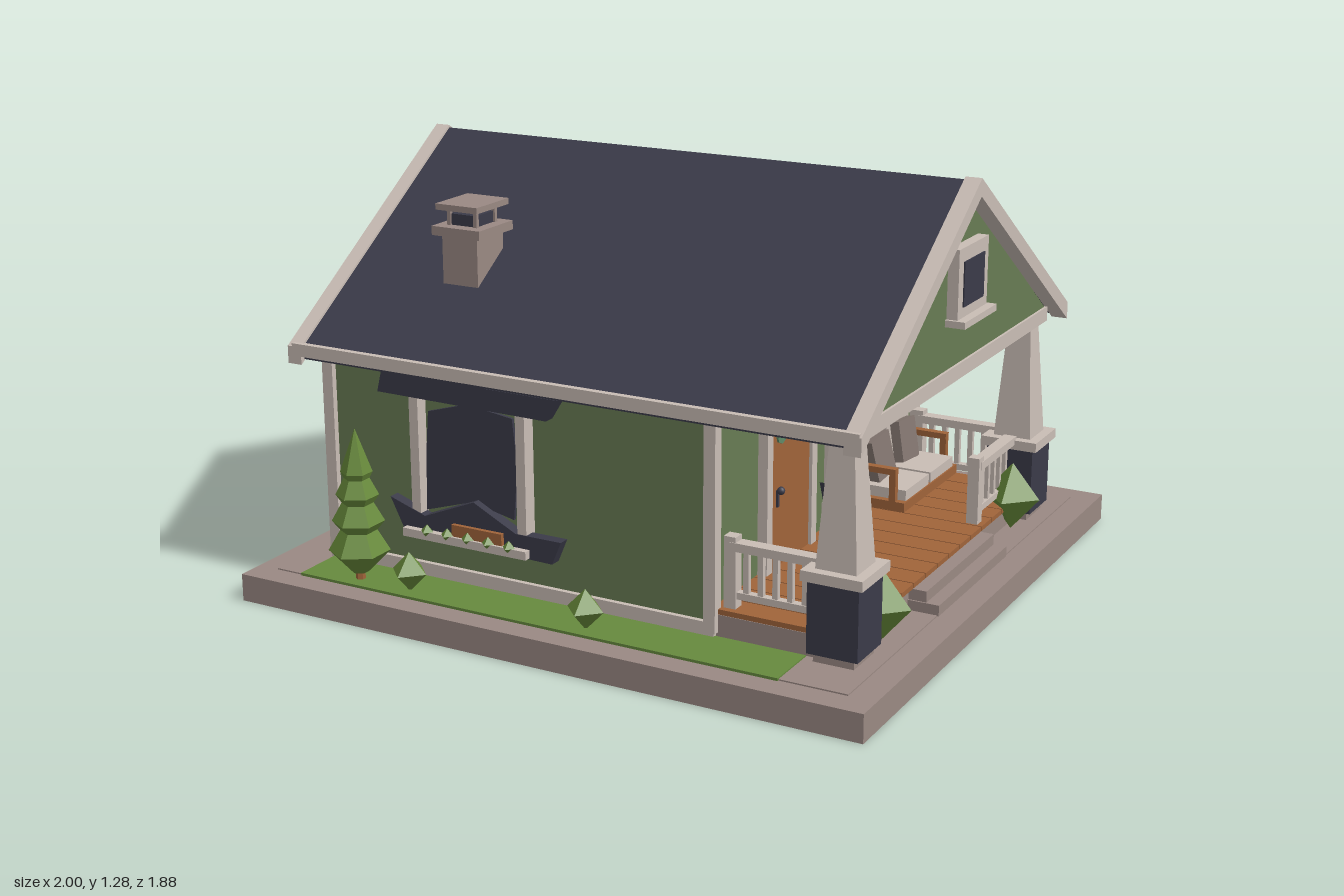
import * as THREE from 'three';

const mat = (name, color) => Object.assign(new THREE.MeshStandardMaterial({ color }), { name });

export function createModel() {
  const stone = mat('stone', 0x9a8983), cream = mat('cream trim', 0xc9bdb5), green = mat('wall green', 0x687c54);
  const navy = mat('slate navy', 0x3b3b49), wood = mat('wood', 0xa0643a), leaf = mat('leaf', 0x67893a);
  const grass = mat('grass', 0x668a3e), pane = mat('door glass', 0x5f8a68), grey = mat('pillow grey', 0x82756f);
  const house = new THREE.Group();
  house.name = 'cottage';

  const add = (name, geo, m, parent = house) => {
    const mesh = new THREE.Mesh(geo, m);
    mesh.name = name;
    parent.add(mesh);
    return mesh;
  };
  // Box given by its limits on each axis
  const box = (name, m, x0, x1, y0, y1, z0, z1, parent) => {
    const mesh = add(name, new THREE.BoxGeometry(x1 - x0, y1 - y0, z1 - z0), m, parent);
    mesh.position.set((x0 + x1) / 2, (y0 + y1) / 2, (z0 + z1) / 2);
    return mesh;
  };
  const flat = (geo) => {
    const g = geo.index ? geo.toNonIndexed() : geo;
    g.computeVertexNormals();
    return g;
  };
  const shape = (pts) => new THREE.Shape(pts.map(([x, y]) => new THREE.Vector2(x, y)));
  const plate = (pts, depth) => new THREE.ExtrudeGeometry(shape(pts), { depth, bevelEnabled: false });
  // Symmetric (z, y) profile extruded along x
  const alongX = (name, m, pts, x0, x1) => {
    const mesh = add(name, plate(pts, x1 - x0).rotateY(Math.PI / 2), m);
    mesh.position.x = x0;
    return mesh;
  };
  // Tapered column or pot with n flat sides
  const taper = (name, m, rTop, rBottom, y0, y1, x, z, n, parent) => {
    const geo = new THREE.CylinderGeometry(rTop, rBottom, y1 - y0, n);
    if (n === 4) geo.rotateY(Math.PI / 4);
    const mesh = add(name, flat(geo), m, parent);
    mesh.position.set(x, (y0 + y1) / 2, z);
    return mesh;
  };

  // Ground slab and lawn strips
  box('groundSlab', stone, -1, 1, 0, 0.083, -0.94, 0.94);
  box('paving', stone, -0.93, 0.92, 0.083, 0.087, -0.86, 0.86);
  for (const s of [-1, 1]) box('lawn', grass, -0.84, 0.72, 0.08, 0.091, s * 0.78 - 0.085, s * 0.78 + 0.085);

  // House body, baseboard and corner posts
  alongX('walls', green, [[-0.69, 0.085], [0.69, 0.085], [0.69, 0.765], [0, 1.235], [-0.69, 0.765]], -0.83, 0.43);
  box('baseboard', cream, -0.85, 0.445, 0.085, 0.13, -0.705, 0.705);
  for (const s of [-1, 1]) for (const x of [-0.833, 0.433])
    box('cornerPost', cream, x - 0.018, x + 0.018, 0.1, 0.76, s * 0.69 - 0.018, s * 0.69 + 0.018);

  // Roof, barge boards and eaves
  const chevron = (w, top, t) => {
    const low = top - w * 0.68;
    return [[-w, low], [-w, low - t], [0, top - t], [w, low - t], [w, low], [0, top]];
  };
  alongX('roof', navy, chevron(0.765, 1.275, 0.04), -0.88, 0.87);
  alongX('bargeBoardBack', cream, chevron(0.78, 1.283, 0.052), -0.915, -0.868);
  alongX('bargeBoardFront', cream, chevron(0.78, 1.283, 0.052), 0.856, 0.906);
  for (const s of [-1, 1]) box('eaveBoard', cream, -0.9, 0.9, 0.725, 0.762, s * 0.77 - 0.01, s * 0.77 + 0.01);

  // Porch gable, beams and braces
  alongX('porchGable', green, [[-0.71, 0.745], [0.71, 0.745], [0, 1.238]], 0.81, 0.857);
  box('porchBeam', cream, 0.785, 0.865, 0.705, 0.75, -0.71, 0.71);
  for (const s of [-1, 1]) {
    box('sideBeam', cream, 0.43, 0.84, 0.715, 0.75, s * 0.66 - 0.025, s * 0.66 + 0.025);
    const brace = box('brace', cream, 0.62, 0.77, 0.69, 0.715, s * 0.62 - 0.015, s * 0.62 + 0.015);
    brace.rotation.z = -0.4;
  }

  // Attic window
  box('atticFrame', cream, 0.85, 0.89, 0.9, 1.1, -0.11, 0.11);
  box('atticGlass', navy, 0.885, 0.894, 0.93, 1.06, -0.075, 0.075);
  box('atticSill', cream, 0.85, 0.917, 0.88, 0.9, -0.12, 0.12);

  // Chimney
  box('chimneyStack', stone, -0.545, -0.425, 0.88, 1.08, 0.38, 0.515);
  box('chimneyCollar', stone, -0.567, -0.403, 1.07, 1.097, 0.36, 0.535);
  box('chimneyFlue', navy, -0.53, -0.44, 1.09, 1.13, 0.4, 0.495);
  for (const x of [-0.53, -0.44]) for (const z of [0.4, 0.495])
    box('chimneyLeg', stone, x - 0.006, x + 0.006, 1.09, 1.15, z - 0.006, z + 0.006);
  box('chimneyCap', stone, -0.555, -0.413, 1.145, 1.163, 0.365, 0.53);

  // Window with slate head and apron and a planter; local +z points out of the wall
  const addWindow = (x, z, turn, k) => {
    const w = new THREE.Group();
    w.name = 'window';
    const part = (name, m, pts, depth, z0) => {
      add(name, plate(pts.map(([px, py]) => [px * k, py]), depth), m, w).position.z = z0;
    };
    part('glass', navy, [[-0.16, 0.3], [0, 0.35], [0.14, 0.32], [0.155, 0.48], [0.14, 0.62], [-0.01, 0.64],
      [-0.145, 0.6], [-0.155, 0.48]], 0.01, 0.012);
    part('windowBack', green, [[-0.16, 0.28], [0.16, 0.28], [0.16, 0.66], [-0.16, 0.66]], 0.012, 0);
    for (const s of [-1, 1]) box('sideFrame', cream, s * 0.18 * k - 0.015, s * 0.18 * k + 0.015, 0.27, 0.68, 0, 0.045, w);
    part('windowHead', navy, [[-0.3, 0.645], [0.27, 0.64], [0.31, 0.705], [0.07, 0.705], [-0.02, 0.725], [-0.28, 0.725]], 0.035, 0.015);
    part('windowApron', navy, [[-0.22, 0.23], [0.28, 0.22], [0.31, 0.29], [0.16, 0.29], [0.02, 0.36], [-0.15, 0.29], [-0.27, 0.33]], 0.035, 0.012);
    box('windowSill', cream, -0.215 * k, 0.205 * k, 0.225, 0.25, 0, 0.068, w);
    box('planter', wood, -0.05 * k, 0.12 * k, 0.25, 0.285, 0.03, 0.06, w);
    for (let i = 0; i < 5; i++) {
      const sprig = add('sprig', flat(new THREE.OctahedronGeometry(0.021)), leaf, w);
      sprig.position.set((-0.135 + i * 0.07) * k, 0.25, 0.06);
    }
    w.position.set(x, 0, z);
    w.rotation.y = turn;
    house.add(w);
  };
  addWindow(-0.33, 0.69, 0, 1);
  addWindow(-0.33, -0.69, Math.PI, 1);
  for (const z of [-0.3, 0.3]) addWindow(-0.83, z, -Math.PI / 2, 0.85);
  addWindow(0.43, -0.18, Math.PI / 2, 0.78);

  // Porch floor: stone base with boards, then steps
  box('porchBase', stone, 0.43, 0.83, 0.085, 0.152, -0.69, 0.69);
  const boards = 16, pitch = 1.38 / boards;
  for (let i = 0; i < boards; i++) {
    const z = -0.69 + i * pitch;
    box('deckBoard', wood, 0.43, 0.845, 0.152, 0.167, z + 0.002, z + pitch - 0.002);
  }
  box('lowerStep', stone, 0.8, 0.925, 0.085, 0.117, -0.265, 0.265);
  box('upperStep', stone, 0.8, 0.885, 0.117, 0.15, -0.26, 0.26);

  // Porch columns on piers
  for (const s of [-1, 1]) {
    const z = s * 0.65;
    box('pierFoot', stone, 0.75, 0.87, 0.085, 0.12, z - 0.065, z + 0.065);
    box('pier', navy, 0.735, 0.885, 0.112, 0.32, z - 0.077, z + 0.077);
    box('pierCap', cream, 0.72, 0.9, 0.32, 0.35, z - 0.09, z + 0.09);
    taper('column', cream, 0.034 * Math.SQRT2, 0.06 * Math.SQRT2, 0.35, 0.73, 0.81, z, 4);
  }

  // Railings: rails, balusters and a post, between two points
  const railing = (x0, z0, x1, z1) => {
    const r = new THREE.Group(), len = Math.hypot(x1 - x0, z1 - z0);
    r.name = 'railing';
    box('topRail', cream, 0, len, 0.335, 0.36, -0.02, 0.02, r);
    box('bottomRail', cream, 0, len, 0.195, 0.215, -0.012, 0.012, r);
    box('newelPost', cream, -0.018, 0.018, 0.165, 0.375, -0.018, 0.018, r);
    const n = Math.round(len / 0.045);
    for (let i = 1; i < n; i++) {
      const x = (i * len) / n;
      box('baluster', cream, x - 0.008, x + 0.008, 0.2, 0.34, -0.008, 0.008, r);
    }
    r.position.set(x0, 0, z0);
    r.rotation.y = Math.atan2(z0 - z1, x1 - x0);
    house.add(r);
  };
  railing(0.475, 0.65, 0.74, 0.65);
  railing(0.475, -0.65, 0.74, -0.65);
  railing(0.81, -0.285, 0.81, -0.575);

  // Front door
  box('doorHead', cream, 0.43, 0.465, 0.632, 0.67, 0.09, 0.41);
  for (const z of [0.105, 0.395]) box('doorJamb', cream, 0.43, 0.46, 0.165, 0.64, z - 0.017, z + 0.017);
  box('door', wood, 0.43, 0.45, 0.167, 0.632, 0.12, 0.38);
  for (const z of [0.17, 0.31]) {
    const glass = add('doorGlass', new THREE.CylinderGeometry(0.032, 0.032, 0.008, 8).rotateZ(Math.PI / 2), pane);
    glass.position.set(0.452, 0.565, z);
  }
  box('handlePlate', navy, 0.45, 0.456, 0.35, 0.4, 0.327, 0.337);
  add('doorKnob', new THREE.SphereGeometry(0.012, 10, 8), navy).position.set(0.463, 0.4, 0.332);

  // Wall lantern under a small hood
  box('lanternHood', navy, 0.43, 0.54, 0.605, 0.615, 0.012, 0.1);
  box('lanternStem', navy, 0.502, 0.508, 0.585, 0.605, 0.052, 0.058);
  box('lantern', wood, 0.486, 0.524, 0.525, 0.587, 0.035, 0.075);

  // Hanging flower pot
  box('potBracket', navy, 0.43, 0.54, 0.612, 0.618, -0.493, -0.487);
  taper('pot', grey, 0.052, 0.035, 0.495, 0.562, 0.53, -0.49, 6);
  taper('potPlant', leaf, 0, 0.045, 0.56, 0.612, 0.53, -0.49, 6);

  // Porch bench
  box('benchMount', wood, 0.43, 0.48, 0.26, 0.28, -0.4, -0.11);
  box('benchSeat', wood, 0.47, 0.68, 0.25, 0.278, -0.46, -0.05);
  box('benchBack', wood, 0.475, 0.495, 0.26, 0.47, -0.46, -0.05);
  for (const z of [-0.06, -0.45]) {
    box('benchArm', wood, 0.475, 0.65, 0.36, 0.378, z - 0.012, z + 0.012);
    box('armPost', wood, 0.63, 0.65, 0.27, 0.36, z - 0.01, z + 0.01);
  }
  for (const z of [-0.16, -0.35]) {
    box('seatCushion', cream, 0.5, 0.675, 0.278, 0.31, z - 0.088, z + 0.088);
    box('backCushion', cream, 0.495, 0.525, 0.31, 0.455, z - 0.085, z + 0.085);
    const pillow = box('pillow', grey, 0.535, 0.565, 0.31, 0.435, z - 0.062, z + 0.062);
    pillow.rotation.set(z < -0.2 ? -0.1 : 0.08, 0, 0.2);
  }

  // Tiered trees and clipped bushes
  const bush = (x, z, r, y0, y1) => {
    const b = add('bush', flat(new THREE.OctahedronGeometry(1)), leaf);
    b.scale.set(r, (y1 - y0) / 2, r);
    b.position.set(x, (y0 + y1) / 2, z);
  };
  const tiers = [[0.18, 0.09, 0.1], [0.27, 0.077, 0.09], [0.35, 0.063, 0.08], [0.42, 0.047, 0.13]];
  for (const s of [-1, 1]) {
    const tree = new THREE.Group();
    tree.name = 'tree';
    taper('trunk', wood, 0.014, 0.014, 0.085, 0.14, 0, 0, 6, tree);
    for (const [y, r, h] of tiers) {
      taper('tierTop', leaf, h > 0.12 ? 0 : r * 0.35, r, y, y + h, 0, 0, 6, tree);
      taper('tierUnderside', leaf, r, r * 0.3, y - 0.065, y, 0, 0, 6, tree);
    }
    tree.position.set(-0.66, 0, s * 0.815);
    house.add(tree);
    bush(-0.485, s * 0.815, 0.058, 0.085, 0.205);
    bush(0.105, s * 0.815, 0.058, 0.085, 0.205);
    bush(0.85, s * 0.5, 0.09, 0.085, 0.298);
  }
  return house;
}
